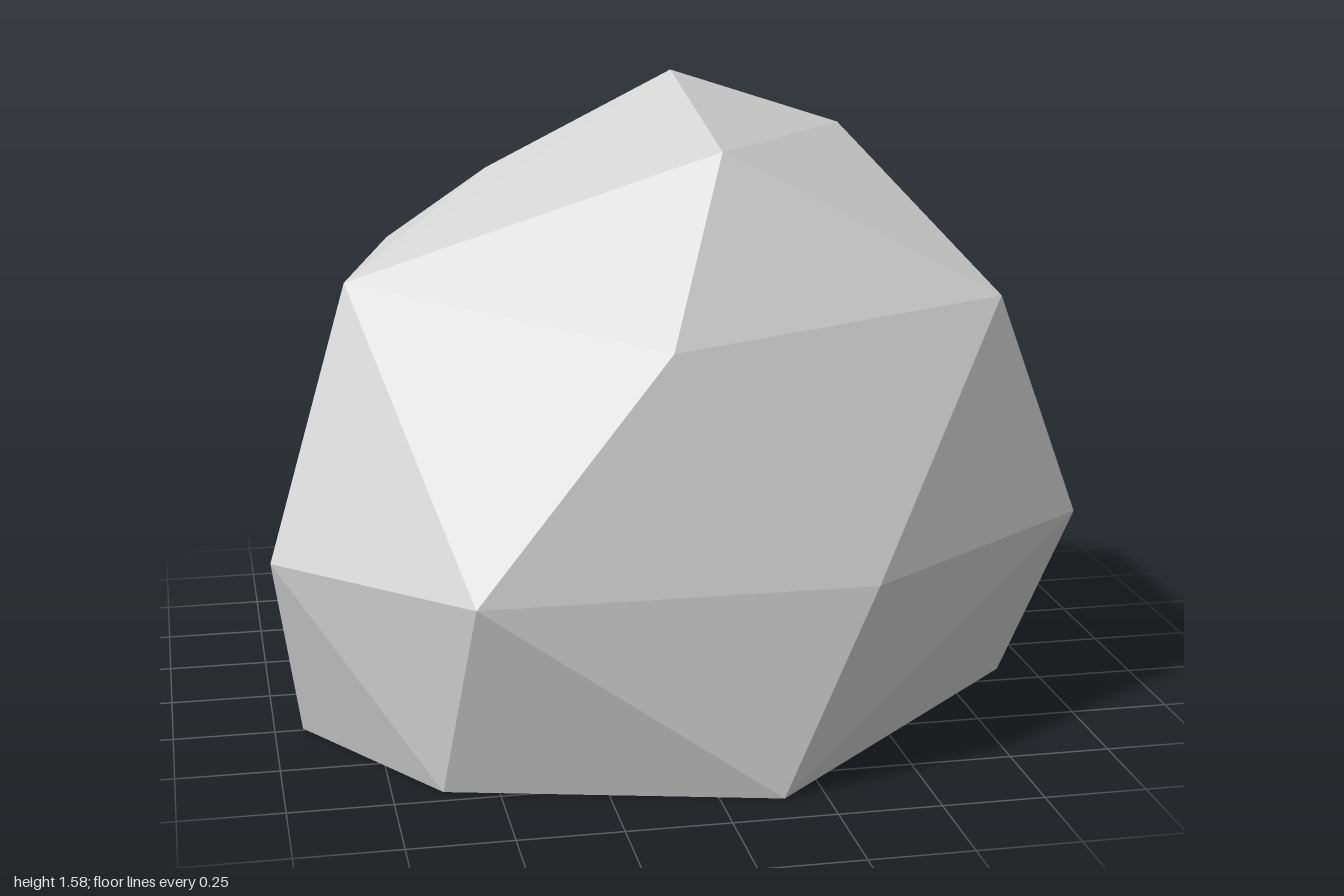
import * as THREE from 'three';
import { ConvexGeometry } from 'three/addons/geometries/ConvexGeometry.js';

// Faceted boulder: rings of corner points wrapped in flat faces
const base = [
  [-0.93, 0, 0.24], [-0.63, 0, 0.70], [0.15, 0, 0.89], [0.91, 0, 0.17],
  [0.76, 0, -0.38], [-0.13, 0, -0.81], [-0.67, 0, -0.51],
];
const waist = [
  [-1, 0.48, 0.37], [-0.56, 0.49, 0.83], [0.37, 0.51, 0.89], [1, 0.52, 0.45],
  [0.73, 0.50, -0.53], [-0.05, 0.53, -0.89], [-0.65, 0.47, -0.62],
];
const shoulder = [
  [-0.79, 1.12, 0.17], [-0.09, 1.05, 0.76], [0.78, 1.09, 0.48],
  [0.83, 1.0, -0.22], [0.32, 1.02, -0.72], [-0.63, 1.11, -0.44],
];
const crown = [
  [0.10, 1.45, 0.40], [0.53, 1.43, -0.15], [0.08, 1.58, -0.13],
  [-0.40, 1.34, -0.14], [0, 1.31, -0.43],
];

export function createModel() {
  const group = new THREE.Group();
  group.name = 'boulder';

  const stone = new THREE.MeshStandardMaterial({ color: 0xd2d2d2, flatShading: true });
  stone.name = 'stone grey';

  const points = [...base, ...waist, ...shoulder, ...crown].map((p) => new THREE.Vector3(...p));
  const rock = new THREE.Mesh(new ConvexGeometry(points), stone);
  rock.name = 'rock';
  group.add(rock);

  return group;
}
